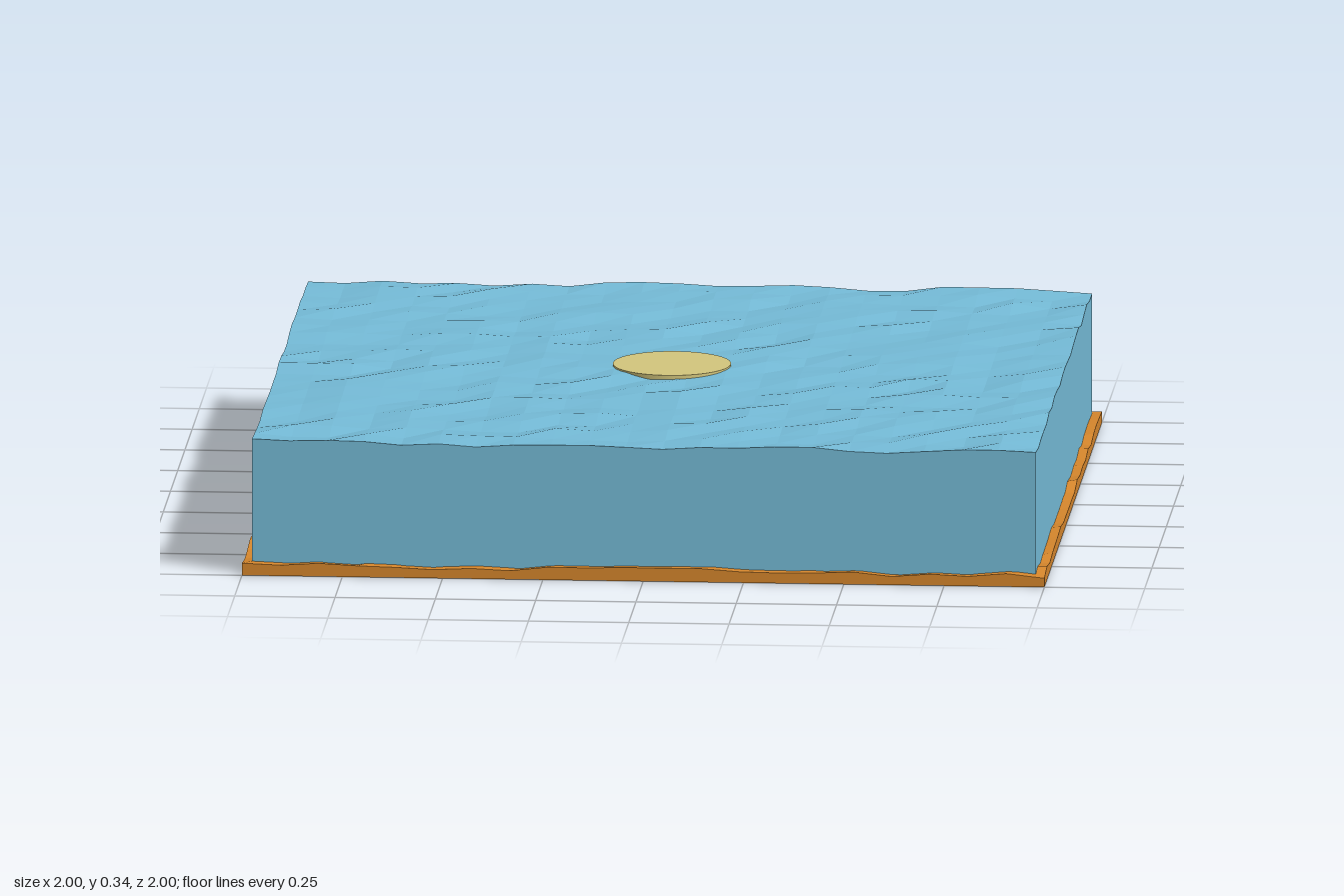
import * as THREE from 'three';

// Small seeded generator for the ripple heights
function seeded(seed) {
  return () => {
    seed = (seed * 1664525 + 1013904223) % 4294967296;
    return seed / 4294967296;
  };
}

// Square slab with flat sides and bottom, whose top ripples between low and high
function rippledSlab(name, size, bottom, low, high, color, seed) {
  const segments = 21, height = high - bottom;
  const geometry = new THREE.BoxGeometry(size, height, size, segments, 1, segments);
  geometry.translate(0, bottom + height / 2, 0);

  const random = seeded(seed);
  const heights = Array.from({ length: (segments + 1) ** 2 }, () => low + (high - low) * random());
  const cell = (v) => Math.round((v / size + 0.5) * segments);

  // Shared lookup keeps the top edge and the side walls joined
  const p = geometry.attributes.position;
  for (let i = 0; i < p.count; i++) {
    if (p.getY(i) > bottom + height / 2) {
      p.setY(i, heights[cell(p.getZ(i)) * (segments + 1) + cell(p.getX(i))]);
    }
  }
  geometry.computeVertexNormals();

  const mesh = new THREE.Mesh(geometry, new THREE.MeshStandardMaterial({ color, flatShading: true }));
  mesh.name = name;
  return mesh;
}

export function createModel() {
  const model = new THREE.Group();
  model.name = 'waterTile';

  // Thin ground sheet with a slightly uneven top
  model.add(rippledSlab('groundBase', 2, 0, 0.02, 0.035, 0xd5862c, 7));

  // Block of water with a rippled surface
  model.add(rippledSlab('waterBlock', 1.954, 0.015, 0.328, 0.343, 0x74bad6, 42));

  // Round sandy pillar that just reaches the surface
  const pillar = new THREE.Mesh(
    new THREE.CylinderGeometry(0.147, 0.147, 0.324, 48),
    new THREE.MeshStandardMaterial({ color: 0xd2c57c })
  );
  pillar.name = 'sandPillar';
  pillar.position.y = 0.182;
  model.add(pillar);

  return model;
}
